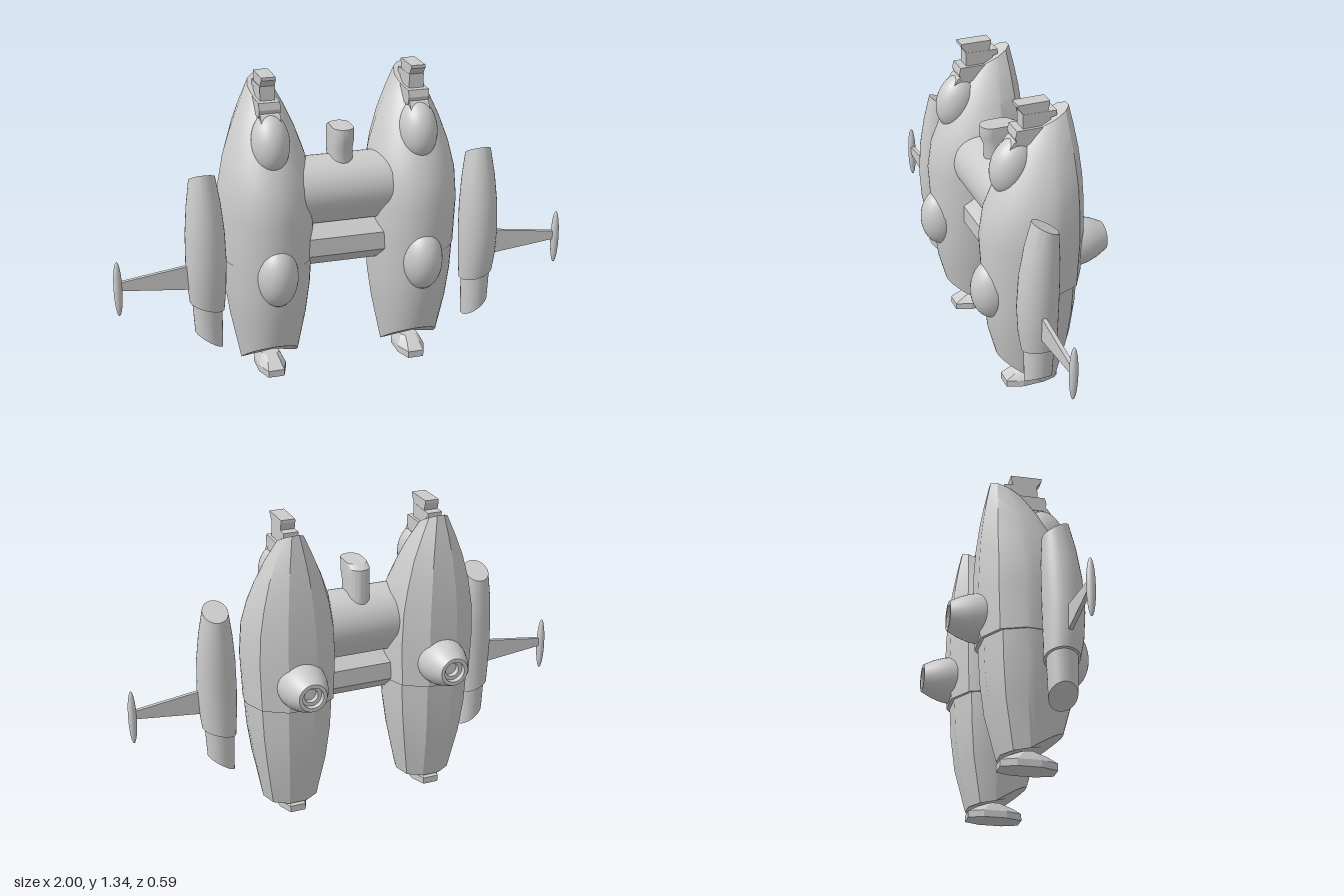
import * as THREE from 'three';
import { toCreasedNormals } from 'three/addons/utils/BufferGeometryUtils.js';

const material = new THREE.MeshStandardMaterial({ color: 0xcccccc });
const range = (n, f) => Array.from({ length: n }, (_, i) => f(i));

function add(parent, name, geometry, x = 0, y = 0, z = 0) {
  const mesh = new THREE.Mesh(geometry, material);
  mesh.name = name;
  mesh.position.set(x, y, z);
  parent.add(mesh);
  return mesh;
}

// Closed skin through rings of [x, y, z] points, listed from bottom to top
function loft(rings, crease = 0.45) {
  const n = rings[0].length, pos = [];
  const tri = (...p) => p.forEach(v => pos.push(...v));
  const centre = ring => [0, 1, 2].map(k => ring.reduce((s, p) => s + p[k], 0) / n);
  const low = rings[0], high = rings[rings.length - 1];
  const c0 = centre(low), c1 = centre(high);
  for (let j = 0; j < n; j++) {
    const k = (j + 1) % n;
    for (let i = 0; i + 1 < rings.length; i++) {
      const a = rings[i], b = rings[i + 1];
      tri(a[j], b[j], a[k]);
      tri(a[k], b[j], b[k]);
    }
    tri(c0, low[j], low[k]);
    tri(c1, high[k], high[j]);
  }
  const g = new THREE.BufferGeometry();
  g.setAttribute('position', new THREE.Float32BufferAttribute(pos, 3));
  return toCreasedNormals(g, crease);
}

// Hull section: smooth front half, five flat panels behind
const hullAngles = [
  ...range(24, i => (i / 24) * Math.PI),
  ...range(5, i => Math.PI * (1 + i / 5)),
];
function hullRing([w, zb, zf, yb, yf], floor = 0) {
  const zm = zb + 0.4 * (zf - zb);
  return hullAngles.map(a => {
    const s = Math.sin(a);
    const z = zm + s * (s > 0 ? zf - zm : zm - zb);
    return [w * Math.cos(a), Math.max(floor, yb + (yf - yb) * (z - zb) / (zf - zb)), z];
  });
}

// Round section whose plane may slope along x and z
const roundRing = ([y, r, x, z, slopeX = 0, slopeZ = 0]) => range(32, i => {
  const dx = r * Math.cos(i * Math.PI / 16), dz = r * Math.sin(i * Math.PI / 16);
  return [x + dx, y + slopeX * dx + slopeZ * dz, z + dz];
});

// Side profile in [z, y] extruded across x
function slab(points, halfWidth) {
  const shape = new THREE.Shape(points.map(p => new THREE.Vector2(...p)));
  const g = new THREE.ExtrudeGeometry(shape, { depth: 2 * halfWidth, bevelEnabled: false, curveSegments: 24 });
  return g.translate(0, 0, -halfWidth).rotateY(-Math.PI / 2);
}

function ellipsoid(rx, ry, rz) {
  return new THREE.SphereGeometry(1, 32, 20).scale(rx, ry, rz);
}

function buildHull() {
  const hull = new THREE.Group();
  hull.name = 'hull';
  add(hull, 'lowerHull', loft([
    hullRing([0.125, -0.09, 0.18, -0.02, 0.16], 0.045),
    hullRing([0.165, -0.14, 0.215, 0.24, 0.29]),
    hullRing([0.185, -0.158, 0.23, 0.39, 0.42]),
    hullRing([0.193, -0.165, 0.235, 0.535, 0.535]),
  ]));
  add(hull, 'upperHull', loft([
    [0.198, -0.18, 0.238, 0.535, 0.535],
    [0.206, -0.19, 0.25, 0.74, 0.74],
    [0.198, -0.186, 0.232, 0.88, 0.86],
    [0.175, -0.178, 0.195, 1.0, 0.95],
    [0.14, -0.162, 0.155, 1.12, 1.03],
    [0.098, -0.145, 0.1, 1.21, 1.13],
    [0.052, -0.125, 0.04, 1.3, 1.215],
  ].map(r => hullRing(r))));

  // Front blisters
  add(hull, 'upperBlister', ellipsoid(0.08, 0.125, 0.09), 0, 1.065, 0.115).rotation.x = -0.3;
  add(hull, 'lowerBlister', ellipsoid(0.088, 0.137, 0.1), 0, 0.502, 0.195);

  // Stepped turret at the nose
  add(hull, 'turretFoot', slab([[0, 1.1], [0.13, 1.1], [0.15, 1.14], [0.12, 1.185], [0.07, 1.205], [0, 1.205]], 0.042));
  add(hull, 'turretStep', slab([[0, 1.17], [0.105, 1.17], [0.117, 1.205], [0.11, 1.235], [0, 1.235]], 0.045));
  add(hull, 'turretColumn', slab([[-0.04, 1.19], [0.08, 1.19], [0.08, 1.296], [-0.065, 1.292], [-0.065, 1.27], [-0.04, 1.265]], 0.032));
  add(hull, 'turretHead', slab([[-0.025, 1.292], [0.075, 1.292], [0.1, 1.325], [0.1, 1.338], [-0.035, 1.338], [-0.035, 1.325]], 0.031));

  // Foot with narrowed ends and a sloping top
  const footOutline = [[0.035, 0.15], [0.06, 0.08], [0.06, -0.02], [0.035, -0.085]];
  const footRing = (y, sx, zf, zb) => [...footOutline, ...footOutline.map(([x, z]) => [-x, z]).reverse()]
    .map(([x, z]) => [x * sx, y, THREE.MathUtils.mapLinear(z, -0.085, 0.15, zb, zf)]).reverse();
  add(hull, 'foot', loft([
    footRing(0, 1, 0.15, -0.085), footRing(0.03, 1, 0.15, -0.085),
    footRing(0.055, 0.8, 0.11, -0.04), footRing(0.072, 0.65, 0.07, 0),
  ], 0.3));

  // Rear nozzle, hollow at the tip
  const nozzle = new THREE.LatheGeometry([
    [0.105, 0.12], [0.106, 0.165], [0.1, 0.205], [0.085, 0.25], [0.062, 0.295],
    [0.046, 0.295], [0.046, 0.27], [0.03, 0.27], [0.03, 0.245], [0, 0.245],
  ].map(p => new THREE.Vector2(...p)), 32);
  nozzle.rotateX(-Math.PI / 2);
  add(hull, 'rearNozzle', toCreasedNormals(nozzle, 0.6), 0, 0.65, 0);
  return hull;
}

function buildSidePod() {
  const pod = new THREE.Group();
  pod.name = 'sidePod';
  add(pod, 'podBody', loft([
    [0.366, 0.073, 0.609, 0.108, 0.3, 0],
    [0.45, 0.081, 0.609, 0.115, 0.15, 0],
    [0.57, 0.086, 0.609, 0.117],
    [0.7, 0.083, 0.609, 0.112, 0, 0.15],
    [0.82, 0.072, 0.609, 0.101, 0, 0.35],
    [0.932, 0.055, 0.609, 0.089, 0, 0.55],
  ].map(roundRing)));
  add(pod, 'podTail', loft([
    [0.21, 0.058, 0.606, 0.11, 0.68, 0],
    [0.42, 0.065, 0.608, 0.108],
  ].map(roundRing)));

  // Tapered strut and its tip
  const strut = new THREE.Shape([[0.66, 0.455], [0.98, 0.49], [0.98, 0.525], [0.66, 0.568]].map(p => new THREE.Vector2(...p)));
  add(pod, 'strut', new THREE.ExtrudeGeometry(strut, { depth: 0.018, bevelEnabled: false }), 0, 0, 0.114);
  add(pod, 'strutTip', ellipsoid(0.018, 0.122, 0.018), 0.982, 0.495, 0.123);
  return pod;
}

export function createModel() {
  const model = new THREE.Group();
  model.name = 'twinHullCraft';

  for (const side of [1, -1]) {
    const half = new THREE.Group();
    half.name = side > 0 ? 'leftSide' : 'rightSide';
    const hull = buildHull();
    hull.position.x = 0.322;
    half.add(hull, buildSidePod());
    half.scale.x = side;
    model.add(half);
  }

  // Upper bridge: round above, flat panels below
  const arc = range(29, i => {
    const a = -0.4 + (i / 28) * (Math.PI + 0.8);
    return [0.04 + 0.138 * Math.cos(a), 0.822 + 0.138 * Math.sin(a)];
  });
  add(model, 'upperBridge', toCreasedNormals(slab([...arc, [-0.03, 0.685], [0.11, 0.685]], 0.25), 0.4));

  // Lower bridge: eight-sided bar
  const octagon = range(8, i => {
    const a = (i + 0.5) * Math.PI / 4;
    return [0.05 + 0.105 * Math.cos(a), 0.585 + 0.103 * Math.sin(a)];
  });
  add(model, 'lowerBridge', slab(octagon, 0.25));

  // Round-ended mast on the bridge
  const mastRing = (y, zb, zf) => range(32, i => {
    const a = (i + 0.5) * Math.PI / 16, r = 0.045;
    return [r * Math.cos(a), y, r * Math.sin(a) + (Math.sin(a) > 0 ? zf - r : zb + r)];
  });
  add(model, 'mast', loft([
    mastRing(0.88, -0.055, 0.11), mastRing(1.0, -0.055, 0.11),
    mastRing(1.04, -0.055, 0.127), mastRing(1.075, -0.055, 0.127), mastRing(1.092, -0.02, 0.127),
  ]));
  return model;
}
